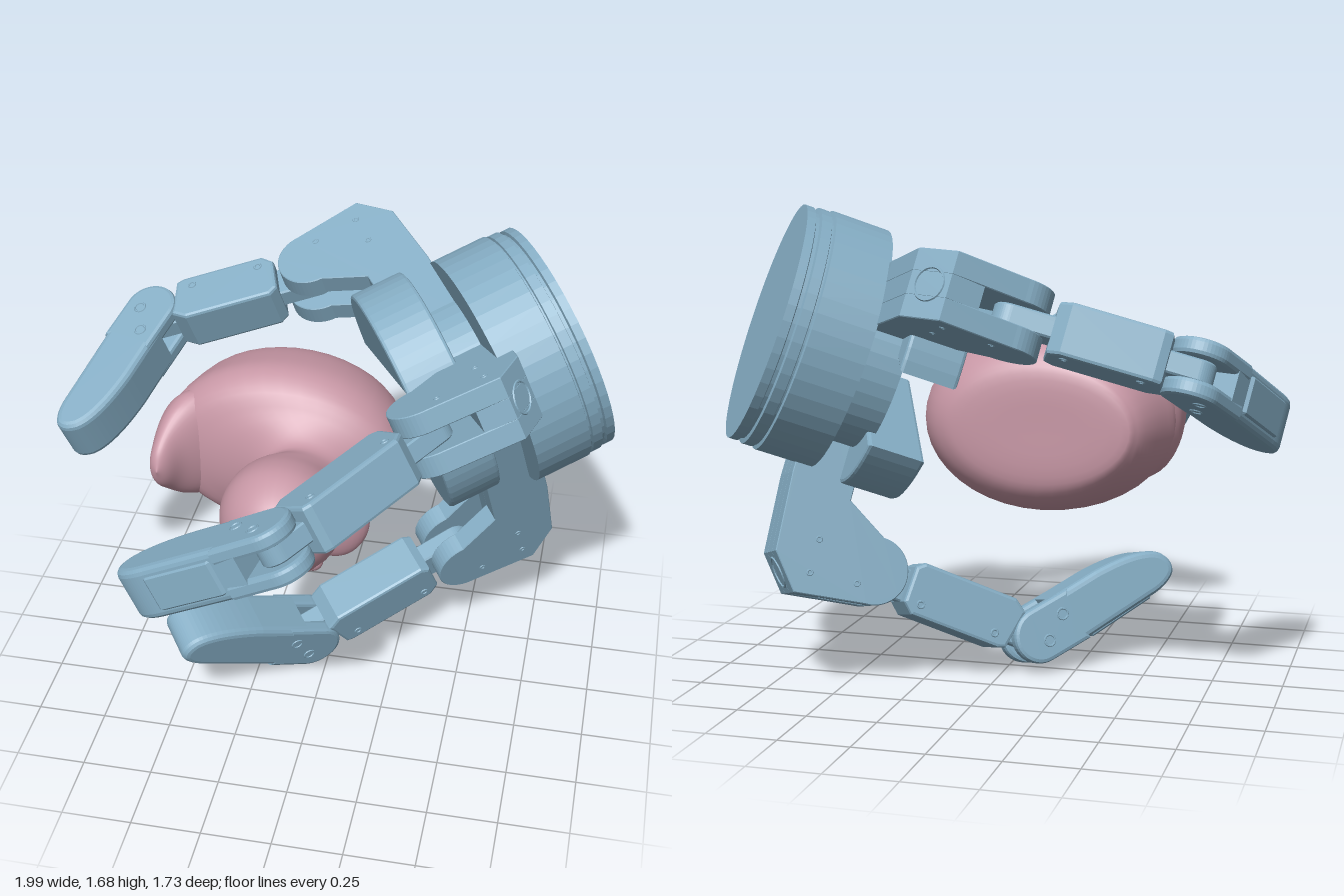
import * as THREE from 'three';

const V = (x, y, z) => new THREE.Vector3(x, y, z);
const metal = new THREE.MeshStandardMaterial({ color: 0x85adc4, flatShading: true });
const smoothMetal = new THREE.MeshStandardMaterial({ color: 0x85adc4 });
const pink = new THREE.MeshStandardMaterial({ color: 0xc797a5 });

const BASE = V(0.757, 1.28, -0.415);                     // centre of the base's rear face
const AXIS = V(-0.826, -0.34, 0.45).normalize();         // direction the hand points

function add(parent, name, geometry, material = metal) {
  const mesh = new THREE.Mesh(geometry, material);
  mesh.name = name;
  parent.add(mesh);
  return mesh;
}

// Group whose local x follows xDir and whose local z is as close to zDir as possible
function frame(name, origin, xDir, zDir) {
  const x = xDir.clone().normalize();
  const y = zDir.clone().cross(x).normalize();
  const z = x.clone().cross(y);
  const group = new THREE.Group();
  group.name = name;
  group.position.copy(origin);
  group.quaternion.setFromRotationMatrix(new THREE.Matrix4().makeBasis(x, y, z));
  return group;
}

// Extruded slab centred on z, total width w including its bevel
function slab(shape, w, bevel = 0.006, bevelSegments = 1) {
  const g = new THREE.ExtrudeGeometry(shape, {
    depth: w - 2 * bevel, bevelEnabled: true, bevelSize: bevel, bevelOffset: -bevel,
    bevelThickness: bevel, bevelSegments, curveSegments: 12,
  });
  g.translate(0, 0, bevel - w / 2);
  return g;
}

const polygon = (pts) => new THREE.Shape(pts.map(([x, y]) => new THREE.Vector2(x, y)));

// Bar with round ends from x = 0 to x = length
function barShape(length, r) {
  const s = new THREE.Shape();
  s.absarc(length, 0, r, -Math.PI / 2, Math.PI / 2);
  s.absarc(0, 0, r, Math.PI / 2, Math.PI * 1.5);
  return s;
}

// Small round screw heads on both side faces
function screws(parent, spots, r, halfWidth) {
  for (const [x, y] of spots) for (const side of [-1, 1]) {
    const ring = add(parent, 'screw', new THREE.TorusGeometry(r, 0.004, 6, 16));
    ring.position.set(x, y, side * halfWidth);
  }
}

// Forked knuckle: two cheeks around a core, with a stem reaching into the palm
function knuckle(origin, hinge, stem) {
  const g = frame('knuckle', origin, AXIS, hinge.clone().negate());
  const rear = [[-0.255, 0.15], [-0.355, 0.03], [-0.375, -0.25], [-0.375, -stem],
    [-0.16, -stem], [-0.15, -0.21]];
  const cheek = new THREE.Shape();
  cheek.absarc(0, 0, 0.12, -Math.PI / 2, Math.PI / 2);
  rear.forEach(([x, y]) => cheek.lineTo(x, y));
  for (const side of [-1, 1]) {
    add(g, 'knuckleCheek', slab(cheek, 0.078, 0.003)).position.z = side * 0.077;
  }
  add(g, 'knuckleCore', slab(polygon([[-0.14, 0.133], ...rear]), 0.08, 0.001));
  // round port on the chamfered corner
  const port = add(g, 'knucklePort', new THREE.TorusGeometry(0.055, 0.005, 6, 28));
  port.position.set(-0.305, 0.09, 0);
  port.quaternion.setFromUnitVectors(V(0, 0, 1), V(-0.12, 0.1, 0).normalize());
  screws(g, [[-0.05, 0.06], [-0.22, 0.07], [-0.22, -0.05]], 0.009, 0.115);
  return g;
}

function proximalLink(from, to, hinge) {
  const dir = to.clone().sub(from), L = dir.length();
  const g = frame('proximalLink', from, dir, hinge.clone().negate());
  add(g, 'linkBar', slab(barShape(L, 0.06), 0.075));
  const body = polygon([[0.14, -0.07], [0.17, -0.095], [L - 0.13, -0.095], [L - 0.08, -0.06],
    [L - 0.11, 0.085], [L - 0.14, 0.095], [0.18, 0.095], [0.14, 0.06]]);
  add(g, 'linkBody', slab(body, 0.18, 0.012, 2));
  screws(g, [[0.2, 0.05], [L - 0.17, 0.05]], 0.012, 0.09);
  return g;
}

function distalLink(from, to, hinge) {
  const dir = to.clone().sub(from), L = dir.length();
  const g = frame('distalLink', from, dir, hinge.clone().negate());
  const cheek = new THREE.Shape();
  cheek.absarc(0, 0, 0.1, Math.PI / 2, Math.PI * 1.5);
  cheek.lineTo(0.17, -0.1);
  cheek.lineTo(0.17, 0.1);
  for (const side of [-1, 1]) {
    add(g, 'distalCheek', slab(cheek, 0.06, 0.015, 2)).position.z = side * 0.068;
  }
  // tapering fingertip with a rounded end
  const tip = new THREE.Shape();
  tip.moveTo(0.09, -0.1);
  tip.lineTo(0.3, -0.105);
  tip.quadraticCurveTo(L - 0.07, -0.1, L - 0.01, -0.04);
  tip.quadraticCurveTo(L + 0.03, 0.01, L, 0.05);
  tip.quadraticCurveTo(L - 0.04, 0.085, L - 0.12, 0.085);
  tip.lineTo(0.09, 0.1);
  add(g, 'fingertip', slab(tip, 0.196, 0.025, 3));
  const cover = polygon([[0.17, 0.085], [L - 0.1, 0.075], [L - 0.12, 0.095], [0.19, 0.107]]);
  add(g, 'fingertipCover', slab(cover, 0.13));
  screws(g, [[0.02, 0.03], [0.11, -0.03]], 0.02, 0.098);
  return g;
}

function finger(name, j1, j2, tip, stem) {
  const g = new THREE.Group();
  g.name = name;
  const hinge = j2.clone().sub(j1).cross(tip.clone().sub(j2)).normalize();
  g.add(knuckle(j1, hinge, stem), proximalLink(j1, j2, hinge), distalLink(j2, tip, hinge));
  return g;
}

// Smooth skin through ellipses stacked along z: [centre x, z, radius x, radius y]
function loft(sections, y0, rings = 60, sides = 40) {
  const curve = (f) => new THREE.CatmullRomCurve3(sections.map(f), false, 'catmullrom', 0.5);
  const centres = curve(([cx, z]) => V(cx, y0, z));
  const radii = curve(([, , rx, ry]) => V(rx, ry, 0));
  const pos = [], idx = [];
  for (let i = 0; i <= rings; i++) {
    const c = centres.getPoint(i / rings), r = radii.getPoint(i / rings);
    for (let j = 0; j < sides; j++) {
      const t = (j / sides) * Math.PI * 2;
      pos.push(c.x + r.x * Math.cos(t), c.y + r.y * Math.sin(t), c.z);
      if (i === rings) continue;
      const a = i * sides + j, b = i * sides + (j + 1) % sides;
      idx.push(a, b, b + sides, a, b + sides, a + sides);
    }
  }
  const g = new THREE.BufferGeometry();
  g.setAttribute('position', new THREE.Float32BufferAttribute(pos, 3));
  g.setIndex(idx);
  g.computeVertexNormals();
  return g;
}

function ellipsoid(parent, name, p, s) {
  const m = add(parent, name, new THREE.SphereGeometry(1, 28, 18), pink);
  m.position.set(...p);
  m.scale.set(...s);
  return m;
}

// Toy duck lying on its back end, with its head towards +z
function duck() {
  const g = new THREE.Group();
  g.name = 'toyDuck';
  const y = 0.93;
  add(g, 'duckBodyAndHead', loft([
    [-0.2, -0.34, 0, 0], [-0.2, -0.338, 0.27, 0.16], [-0.18, -0.31, 0.345, 0.235],
    [-0.165, -0.24, 0.395, 0.29], [-0.16, -0.13, 0.432, 0.322], [-0.167, -0.03, 0.445, 0.33],
    [-0.155, 0.05, 0.415, 0.29], [-0.115, 0.1, 0.31, 0.225], [-0.06, 0.15, 0.2, 0.178],
    [-0.05, 0.2, 0.16, 0.157], [-0.08, 0.26, 0.19, 0.175], [-0.085, 0.34, 0.21, 0.2],
    [-0.085, 0.42, 0.21, 0.205], [-0.085, 0.5, 0.18, 0.175], [-0.08, 0.56, 0.13, 0.13],
    [-0.075, 0.595, 0.07, 0.07], [-0.07, 0.606, 0, 0]], y), pink);
  add(g, 'duckTail', loft([
    [-0.4, -0.2, 0.05, 0.08], [-0.42, -0.12, 0.15, 0.16], [-0.465, -0.02, 0.153, 0.215],
    [-0.515, 0.06, 0.107, 0.19], [-0.555, 0.13, 0.062, 0.13], [-0.573, 0.19, 0.034, 0.07],
    [-0.575, 0.22, 0, 0]], y, 30), pink);
  ellipsoid(g, 'upperBeak', [0.11, y, 0.38], [0.11, 0.14, 0.045]).rotation.y = 0.35;
  ellipsoid(g, 'lowerBeak', [0.11, y, 0.32], [0.1, 0.115, 0.04]).rotation.y = -0.05;
  for (const s of [-1, 1]) ellipsoid(g, 'eye', [0.04, y + s * 0.11, 0.465], [0.035, 0.035, 0.035]);
  return g;
}

export function createModel() {
  const model = new THREE.Group();
  model.name = 'grippingHand';

  // round base with a grooved rear rim
  const profile = [[0, 0], [0.422, 0], [0.422, 0.03], [0.41, 0.034], [0.41, 0.046], [0.427, 0.05],
    [0.427, 0.085], [0.418, 0.088], [0.418, 0.094], [0.433, 0.098], [0.433, 0.3], [0, 0.3]];
  const base = add(model, 'base', new THREE.LatheGeometry(
    profile.map(([r, h]) => new THREE.Vector2(r, h)), 48));
  base.position.copy(BASE);
  base.quaternion.setFromUnitVectors(V(0, 1, 0), AXIS);

  // palm: two rounded pads either side of a channel, held off the base by a narrower core
  const palm = frame('palm', BASE, V(0.37, 0.27, 0.89), AXIS);
  const half = new THREE.Shape(), cut = 0.33;
  half.absellipse(0, 0, 0.37, 0.43, cut, Math.PI - cut);
  for (const side of [-1, 1]) {
    const pad = add(palm, 'palmPad', slab(half, 0.2, 0.012, 2), smoothMetal);
    pad.position.set(-0.085, 0, 0.51);
    pad.rotation.z = side > 0 ? 0 : Math.PI;
  }
  const core = add(palm, 'palmCore', new THREE.CylinderGeometry(0.3, 0.3, 0.16, 40));
  core.rotation.x = Math.PI / 2;
  core.position.set(-0.06, 0, 0.36);
  model.add(palm);

  model.add(
    finger('rearFinger', V(-0.16, 1.325, -0.58), V(-0.745, 1.15, -0.44), V(-0.93, 0.91, 0.05), 0.55),
    finger('frontFinger', V(0.40, 1.25, 0.24), V(-0.02, 1.09, 0.765), V(-0.51, 0.82, 0.725), 0.4),
    finger('lowerFinger', V(0.44, 0.385, -0.30), V(-0.085, 0.11, 0.0), V(-0.48, 0.33, 0.36), 0.65),
    duck(),
  );
  return model;
}
